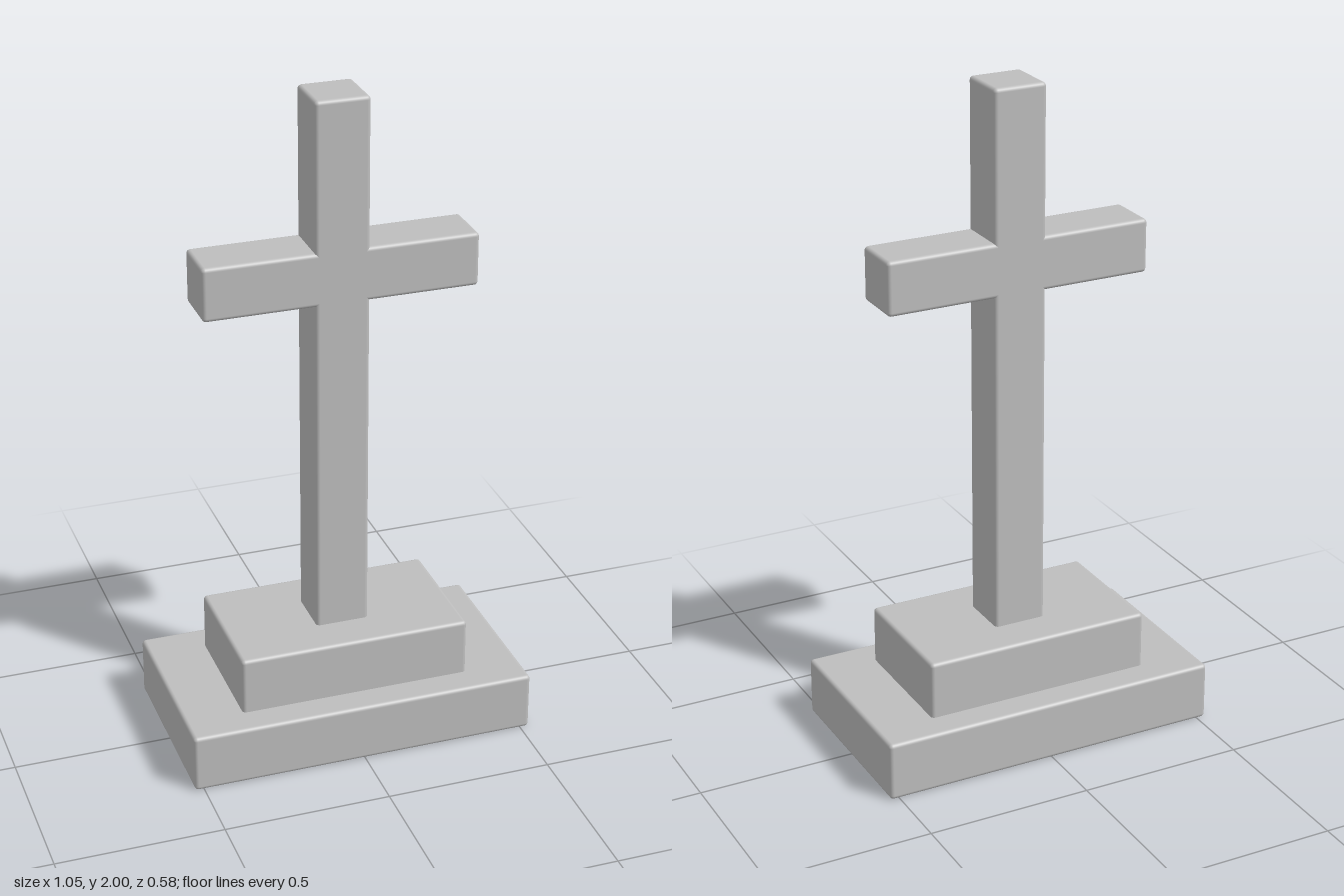
import * as THREE from 'three';
import { RoundedBoxGeometry } from 'three/addons/geometries/RoundedBoxGeometry.js';

export function createModel() {
  const model = new THREE.Group();
  model.name = 'steppedCross';
  const stone = new THREE.MeshStandardMaterial({ color: 0xbebebe });
  stone.name = 'greyStone';

  // Block with softly rounded edges, spanning bottom to top, centred in x and z
  function addBlock(name, width, depth, bottom, top) {
    const geometry = new RoundedBoxGeometry(width, top - bottom, depth, 3, 0.012);
    const mesh = new THREE.Mesh(geometry, stone);
    mesh.name = name;
    mesh.position.y = (bottom + top) / 2;
    model.add(mesh);
  }

  // Stepped plinth; upper parts sink slightly into the ones below
  addBlock('lowerStep', 1.055, 0.585, 0, 0.18);
  addBlock('upperStep', 0.704, 0.408, 0.16, 0.355);

  // Cross
  addBlock('shaft', 0.162, 0.162, 0.335, 2);
  addBlock('crossbar', 0.82, 0.162, 1.393, 1.555);

  return model;
}
